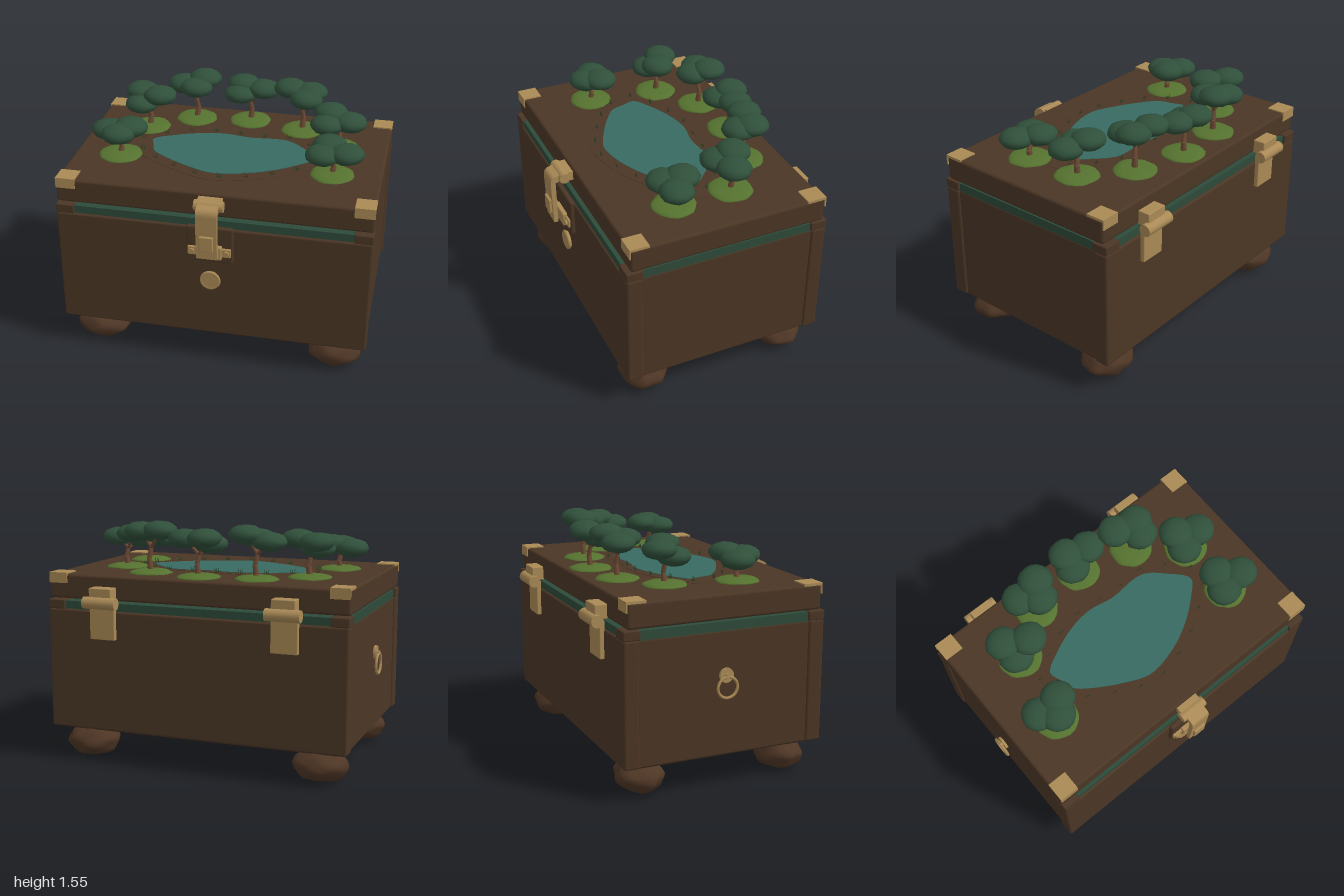
import * as THREE from 'three';
import { mergeVertices } from 'three/addons/utils/BufferGeometryUtils.js';
import { RoundedBoxGeometry } from 'three/addons/geometries/RoundedBoxGeometry.js';

const mat = (name, color, side = THREE.FrontSide) => {
  const m = new THREE.MeshStandardMaterial({ color, side });
  m.name = name;
  return m;
};
const wood = mat('dark wood', 0x4b3625);
const stump = mat('foot wood', 0x4e3625);
const brass = mat('brass', 0xaa8a56);
const felt = mat('green lining', 0x2d4a3a);
const leaf = mat('foliage', 0x30503b);
const moss = mat('moss', 0x55722f);
const bark = mat('bark', 0x6e4a35);
const water = mat('water', 0x376a61);
const blade = mat('grass', 0x2c4022, THREE.DoubleSide);

const CX = 0.0175; // middle of the chest in x
const TOP = 1.213; // top of the lid

export function createModel() {
  const root = new THREE.Group();
  root.name = 'gardenChest';

  const add = (name, geo, material, parent = root) => {
    const m = new THREE.Mesh(geo, material);
    m.name = name;
    parent.add(m);
    return m;
  };
  // Box given by its limits, with optional rounded edges
  const box = (name, material, x0, x1, y0, y1, z0, z1, r = 0, parent = root) => {
    const s = [x1 - x0, y1 - y0, z1 - z0];
    const geo = r ? new RoundedBoxGeometry(...s, 2, r) : new THREE.BoxGeometry(...s);
    const m = add(name, geo, material, parent);
    m.position.set((x0 + x1) / 2, (y0 + y1) / 2, (z0 + z1) / 2);
    return m;
  };
  // Cylinder lying along x or z
  const rod = (name, material, r, len, axis, x, y, z, parent = root) => {
    const geo = new THREE.CylinderGeometry(r, r, len, 24);
    if (axis === 'x') geo.rotateZ(Math.PI / 2);
    else geo.rotateX(Math.PI / 2);
    const m = add(name, geo, material, parent);
    m.position.set(x, y, z);
    return m;
  };
  // Smooth lumpy ball; bump sets the strength of the lumps
  const lump = (detail, bump, seed) => {
    let g = new THREE.IcosahedronGeometry(1, detail);
    g.deleteAttribute('uv');
    g.deleteAttribute('normal');
    g = mergeVertices(g, 1e-4);
    const p = g.attributes.position, v = new THREE.Vector3();
    for (let i = 0; i < p.count; i++) {
      v.fromBufferAttribute(p, i);
      const n = Math.sin(v.x * 5 + seed) * Math.sin(v.y * 6 + seed * 2) + 0.7 * Math.sin(v.z * 8 + v.x * 4 + seed * 3);
      v.multiplyScalar(1 + bump * n);
      p.setXYZ(i, v.x, v.y, v.z);
    }
    g.computeVertexNormals();
    return g;
  };
  // Tapered limb between two points
  const limb = (name, a, b, r0, r1, parent) => {
    const d = b.clone().sub(a);
    const m = add(name, new THREE.CylinderGeometry(r1, r0, d.length(), 8), bark, parent);
    m.position.copy(a).addScaledVector(d, 0.5);
    m.quaternion.setFromUnitVectors(new THREE.Vector3(0, 1, 0), d.normalize());
  };

  // Chest body
  box('frontPanel', wood, -0.965, 1.0, 0.222, 0.995, 0.53, 0.633, 0.015);
  box('backPanel', wood, -0.965, 1.0, 0.222, 0.995, -0.675, -0.578, 0.015);
  for (const s of [-1, 1]) {
    const x = CX + s * 0.92;
    box('sidePanel', wood, x - 0.05, x + 0.05, 0.222, 0.993, -0.585, 0.54, 0.012);
  }
  box('bottomPlate', wood, -0.885, 0.915, 0.19, 0.24, -0.58, 0.535, 0.01);
  box('lining', felt, -0.95, 0.985, 0.96, 1.045, -0.66, 0.62);
  for (const s of [-1, 1]) for (const z of [-0.623, 0.58]) {
    const x = CX + s * 0.925;
    box('cornerBlock', wood, x - 0.058, x + 0.058, 0.992, 1.052, z - 0.053, z + 0.053, 0.008);
  }

  // Lid with brass corner plates
  box('lid', wood, -0.965, 1.0, 1.057, TOP, -0.65, 0.605, 0.018);
  for (const s of [-1, 1]) for (const f of [-1, 1]) {
    const x = CX + s * 0.92, z = -0.0225 + f * 0.572, e = -0.0225 + f * 0.63;
    box('cornerPlateTop', brass, x - 0.062, x + 0.062, TOP - 0.008, TOP + 0.008, z - 0.061, z + 0.061);
    box('cornerPlateFace', brass, x - 0.062, x + 0.062, 1.155, TOP + 0.008, e - 0.004, e + 0.004);
  }

  // Feet
  for (const x of [-0.755, 0.79]) for (const z of [-0.5, 0.455]) {
    const foot = add('foot', lump(4, 0.055, x * 3 + z * 5), stump);
    foot.scale.set(0.172, 0.098, 0.148);
    foot.position.set(x, 0.106, z);
  }

  // Front clasp
  const clasp = new THREE.Group();
  clasp.name = 'clasp';
  root.add(clasp);
  box('claspPad', wood, -0.13, 0.16, 0.77, 1.012, 0.625, 0.66, 0.012, clasp);
  rod('claspRoller', brass, 0.034, 0.18, 'x', 0.015, 1.165, 0.664, clasp);
  box('claspMount', brass, -0.06, 0.09, 1.135, 1.195, 0.6, 0.65, 0, clasp);
  const hook = new THREE.Shape();
  hook.moveTo(0.67, 1.19);
  hook.lineTo(0.725, 1.175);
  hook.quadraticCurveTo(0.75, 1.165, 0.75, 1.13);
  hook.lineTo(0.742, 0.84);
  hook.lineTo(0.715, 0.84);
  hook.lineTo(0.718, 1.13);
  hook.lineTo(0.67, 1.15);
  const strap = add('claspStrap', new THREE.ExtrudeGeometry(hook, { depth: 0.13, bevelEnabled: false }), brass, clasp);
  strap.rotation.y = -Math.PI / 2;
  strap.position.x = 0.08;
  box('claspTab', brass, -0.028, 0.058, 0.9, 1.0, 0.74, 0.762, 0.006, clasp);
  box('claspCatch', brass, -0.055, 0.095, 0.805, 0.895, 0.655, 0.69, 0.008, clasp);
  box('catchBar', brass, -0.12, 0.15, 0.82, 0.878, 0.655, 0.675, 0.006, clasp);
  for (const s of [-1, 1]) rod('catchRivet', brass, 0.018, 0.03, 'z', 0.015 + s * 0.108, 0.849, 0.673, clasp);

  // Front medallion
  rod('medallion', brass, 0.058, 0.03, 'z', 0.015, 0.63, 0.641);
  add('medallionRim', new THREE.TorusGeometry(0.056, 0.01, 8, 32), brass).position.set(0.015, 0.63, 0.648);

  // Ring pull on one side
  rod('ringMount', brass, 0.045, 0.016, 'x', -0.971, 0.725, -0.03);
  const ring = add('ringPull', new THREE.TorusGeometry(0.064, 0.009, 8, 32), brass);
  ring.rotation.y = Math.PI / 2;
  ring.position.set(-0.99, 0.655, -0.03);
  rod('ringPin', brass, 0.014, 0.03, 'x', -0.982, 0.725, -0.03);

  // Back hinges
  for (const x of [-0.58, 0.61]) {
    box('hingeBracket', brass, x - 0.075, x + 0.075, 1.055, 1.145, -0.728, -0.645, 0.006);
    rod('hingeBarrel', brass, 0.038, 0.22, 'x', x, 1.052, -0.724);
    box('hingeLeaf', brass, x - 0.085, x + 0.085, 0.817, 1.05, -0.703, -0.67, 0.006);
  }

  // Pond and its low shore, drawn in x and z
  const outline = [[-0.52, -0.06], [-0.4, -0.14], [-0.22, -0.21], [-0.07, -0.23], [0.09, -0.205], [0.34, -0.21],
    [0.47, -0.11], [0.565, 0.01], [0.48, 0.11], [0.32, 0.23], [0.14, 0.31], [-0.05, 0.34], [-0.21, 0.28],
    [-0.37, 0.19], [-0.47, 0.11], [-0.5, 0.02]];
  const curve = k => new THREE.CatmullRomCurve3(
    outline.map(([x, z]) => new THREE.Vector3(x * k, -z * k, 0)), true);
  const flat = (name, k, h, material) => {
    const shape = new THREE.Shape(curve(k).getPoints(80).map(p => new THREE.Vector2(p.x, p.y)));
    const geo = new THREE.ExtrudeGeometry(shape, { depth: h, bevelEnabled: false });
    add(name, geo.rotateX(-Math.PI / 2), material).position.y = TOP;
  };
  flat('shore', 1.25, 0.002, wood);
  flat('pond', 1, 0.005, water);

  // Grass tufts around the pond
  const tuftPath = curve(1.14);
  for (let i = 0; i < 18; i++) {
    const p = tuftPath.getPointAt(i / 18);
    const tuft = new THREE.Group();
    tuft.name = 'grassTuft';
    tuft.position.set(p.x, TOP, -p.y);
    root.add(tuft);
    for (let j = 0; j < 3; j++) {
      const b = add('grassBlade', new THREE.ConeGeometry(0.004, 0.038, 4).translate(0, 0.018, 0), blade, tuft);
      b.position.x = (j - 1) * 0.009;
      b.rotation.z = (1 - j) * 0.2;
    }
  }

  // Trees: base x, z, then three leaf clumps as x, y, z
  const trees = [
    [-0.6, -0.26, [-0.66, 1.44, -0.32], [-0.52, 1.45, -0.24], [-0.64, 1.39, -0.22]],
    [-0.32, -0.45, [-0.41, 1.45, -0.48], [-0.27, 1.49, -0.5], [-0.31, 1.46, -0.4]],
    [0.045, -0.49, [-0.01, 1.46, -0.53], [0.13, 1.45, -0.49], [-0.02, 1.42, -0.45]],
    [0.41, -0.4, [0.32, 1.49, -0.45], [0.46, 1.48, -0.43], [0.44, 1.46, -0.35]],
    [0.68, -0.18, [0.62, 1.44, -0.22], [0.75, 1.41, -0.16], [0.61, 1.4, -0.12]],
    [0.69, 0.2, [0.66, 1.38, 0.13], [0.775, 1.37, 0.22], [0.63, 1.36, 0.24]],
    [-0.67, 0.19, [-0.755, 1.36, 0.145], [-0.61, 1.385, 0.14], [-0.67, 1.37, 0.225]],
  ];
  trees.forEach(([x, z, ...clumps], i) => {
    const tree = new THREE.Group();
    tree.name = 'tree';
    root.add(tree);
    const mound = add('mossMound', lump(3, 0.03, i), moss, tree);
    mound.scale.set(0.137, 0.026, 0.137);
    mound.position.set(x, TOP, z);
    const height = clumps.reduce((sum, c) => sum + c[1], 0) / 3;
    const base = new THREE.Vector3(x, TOP, z);
    const bend = new THREE.Vector3(x + 0.008, TOP + (height - TOP) * 0.35, z - 0.006);
    const fork = new THREE.Vector3(x - 0.004, TOP + (height - TOP) * 0.6, z);
    limb('trunk', base, bend, 0.022, 0.016, tree);
    limb('trunk', bend, fork, 0.016, 0.014, tree);
    clumps.forEach((c, j) => {
      const centre = new THREE.Vector3(...c);
      limb('branch', fork, centre, 0.012, 0.007, tree);
      const crown = add('leafClump', lump(2, 0.025, i * 3 + j), leaf, tree);
      crown.scale.set(0.11, 0.06, 0.106);
      crown.position.copy(centre);
    });
  });

  return root;
}
